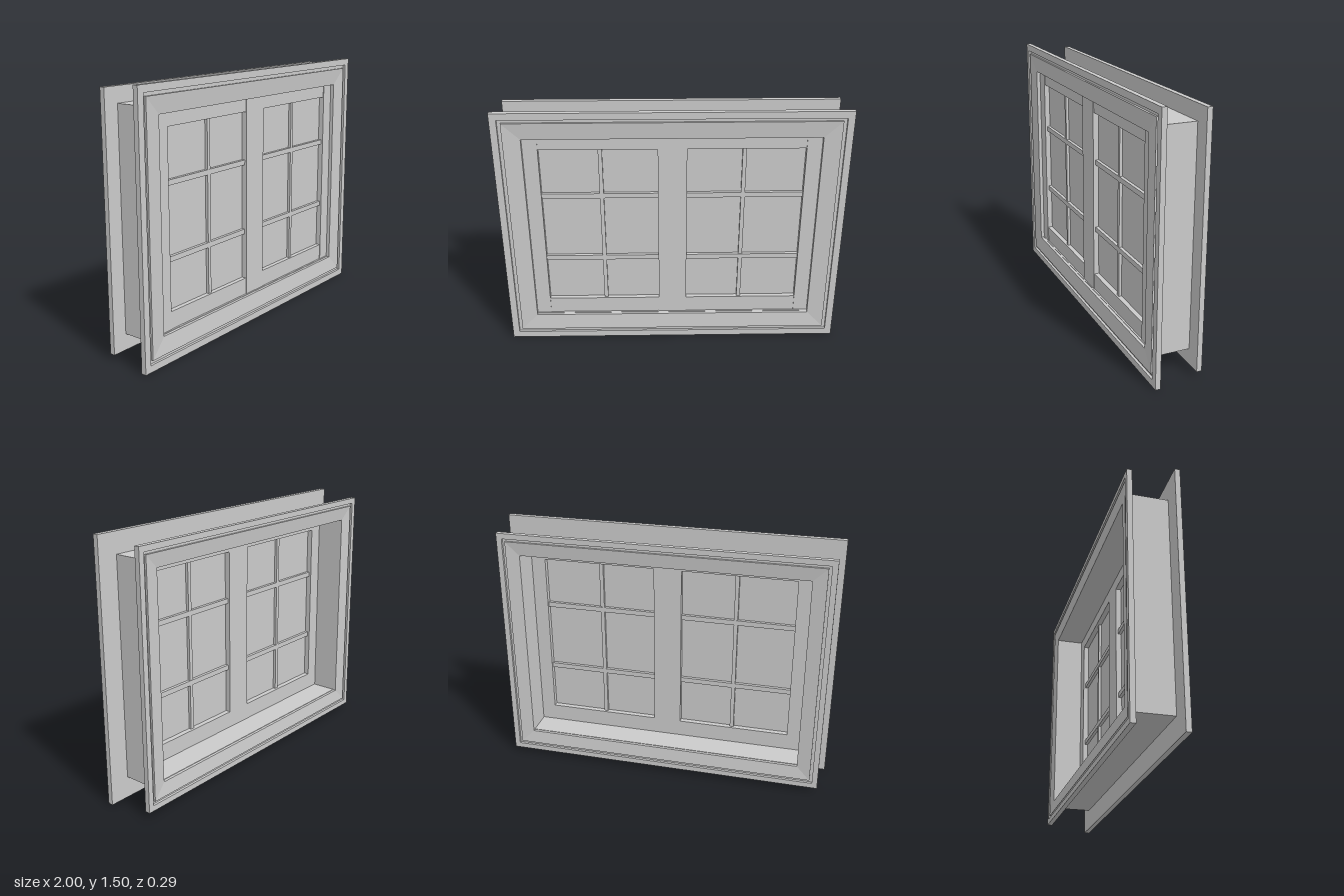
import * as THREE from 'three';

const material = new THREE.MeshStandardMaterial({ color: 0xcccccc, flatShading: true, side: THREE.DoubleSide });

// Mitred rectangular frame: sweeps a closed profile of [inset, z] points round a rectangle
function mitredFrame(name, x, y0, y1, profile) {
  const pos = [];
  const point = (i, [inset, z]) => {
    const right = i % 4 === 1 || i % 4 === 2;
    const top = i % 4 >= 2;
    return [right ? x - inset : inset - x, top ? y1 - inset : y0 + inset, z];
  };
  for (let i = 0; i < 4; i++) {
    profile.forEach((p, j) => {
      const q = profile[(j + 1) % profile.length];
      const a = point(i, p), b = point(i + 1, p), c = point(i + 1, q), d = point(i, q);
      pos.push(...a, ...b, ...c, ...a, ...c, ...d);
    });
  }
  const geo = new THREE.BufferGeometry();
  geo.setAttribute('position', new THREE.Float32BufferAttribute(pos, 3));
  geo.computeVertexNormals();
  const mesh = new THREE.Mesh(geo, material);
  mesh.name = name;
  return mesh;
}

// Casing with a narrow groove and a gently sloping inner face
function casing(name, x, y0, y1, width) {
  const s = width / 0.16;
  return mitredFrame(name, x, y0, y1, [
    [0, 0.115], [0, 0.145], [0.04 * s, 0.145], [0.04 * s, 0.13],
    [0.06 * s, 0.13], [0.06 * s, 0.142], [width, 0.132], [width, 0.115],
  ]);
}

// Box given by its limits
function block(name, x0, x1, y0, y1, z0, z1) {
  const mesh = new THREE.Mesh(new THREE.BoxGeometry(x1 - x0, y1 - y0, z1 - z0), material);
  mesh.position.set((x0 + x1) / 2, (y0 + y1) / 2, (z0 + z1) / 2);
  mesh.name = name;
  return mesh;
}

// One glazed sash, spanning x = 0 to 0.84
function sash(name) {
  const g = new THREE.Group();
  g.name = name;
  const z0 = 0.04, z1 = 0.11;
  g.add(
    block('innerStile', 0, 0.083, 0.165, 1.345, z0, z1),
    block('outerStile', 0.755, 0.84, 0.165, 1.345, z0, z1),
    block('bottomRail', 0.083, 0.755, 0.165, 0.265, z0, z1 - 0.004),
    block('topRail', 0.083, 0.755, 1.27, 1.345, z0, z1 - 0.004),
    block('glass', 0.083, 0.755, 0.265, 1.27, 0.072, 0.078),
    block('verticalMuntin', 0.397, 0.42, 0.265, 1.27, 0.055, 0.095),
  );
  for (const y of [0.555, 0.973]) {
    g.add(block('horizontalMuntin', 0.083, 0.755, y - 0.015, y + 0.015, 0.053, 0.097));
  }
  return g;
}

export function createModel() {
  const model = new THREE.Group();
  model.name = 'window';

  // Trim on both wall faces
  model.add(casing('frontCasing', 1, 0, 1.505, 0.16));
  const back = casing('backCasing', 0.97, 0.03, 1.475, 0.13);
  back.rotation.y = Math.PI;
  model.add(back);

  // Deep jamb lining between the casings
  model.add(mitredFrame('jamb', 0.88, 0.123, 1.385, [
    [0, -0.115], [0, 0.115], [0.04, 0.115], [0.04, -0.115],
  ]));

  // Pair of mirrored sashes meeting in the middle
  const left = sash('leftSash');
  const right = sash('rightSash');
  right.scale.x = -1;
  model.add(left, right);
  return model;
}
